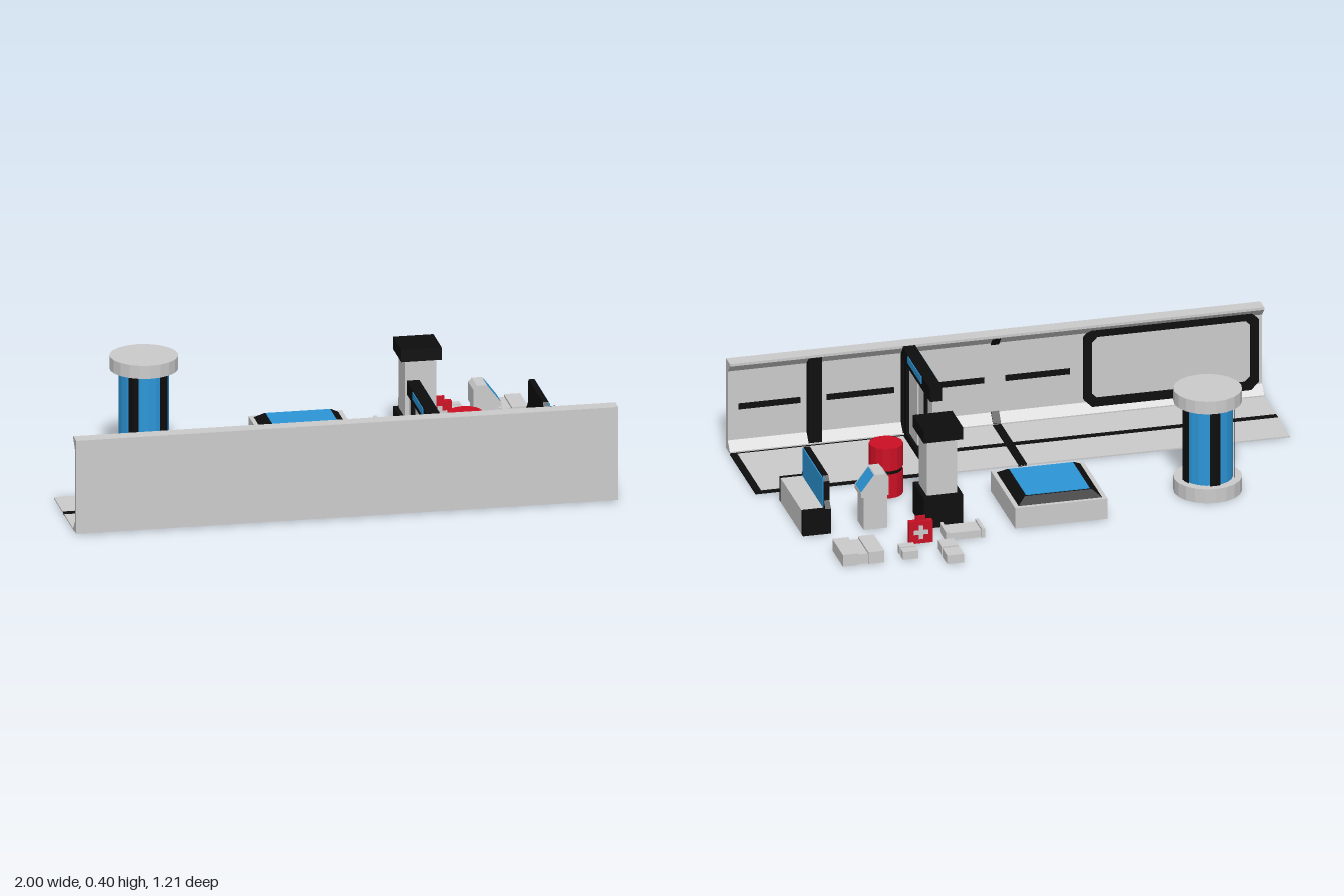
import * as THREE from 'three';

const mat = (color) => new THREE.MeshStandardMaterial({ color, flatShading: true });

export function createModel() {
  const root = new THREE.Group();
  const grey = mat(0xcccccc), black = mat(0x0d0d0d), blue = mat(0x2c96d8), red = mat(0xcc1024);

  const add = (name, geo, material, parent = root) => {
    const m = new THREE.Mesh(geo, material);
    m.name = name;
    parent.add(m);
    return m;
  };
  const group = (name) => {
    const g = new THREE.Group();
    g.name = name;
    root.add(g);
    return g;
  };
  // box from its limits on each axis
  const box = (name, material, [x0, x1], [y0, y1], [z0, z1], parent) => {
    const g = new THREE.BoxGeometry(x1 - x0, y1 - y0, z1 - z0);
    g.translate((x0 + x1) / 2, (y0 + y1) / 2, (z0 + z1) / 2);
    return add(name, g, material, parent);
  };
  // (z, y) profile extruded along x
  const extrudeX = (name, material, pts, x0, x1, parent) => {
    const s = new THREE.Shape(pts.map(([z, y]) => new THREE.Vector2(-z, y)));
    const g = new THREE.ExtrudeGeometry(s, { depth: x1 - x0, bevelEnabled: false });
    g.rotateY(Math.PI / 2).translate(x0, 0, 0);
    return add(name, g, material, parent);
  };
  // (x, y) shape extruded along z
  const extrudeZ = (name, material, shape, z0, z1, parent) => {
    const g = new THREE.ExtrudeGeometry(shape, { depth: z1 - z0, bevelEnabled: false });
    g.translate(0, 0, z0);
    return add(name, g, material, parent);
  };
  const poly = (pts) => new THREE.Shape(pts.map(([x, y]) => new THREE.Vector2(x, y)));

  // long wall with a recessed inner face and bevelled lip and foot
  const wall = group('wall');
  extrudeX('wallPanel', grey, [[0.6, 0.005], [0.6, 0.36], [0.545, 0.36], [0.545, 0.35],
    [0.576, 0.318], [0.576, 0.045], [0.545, 0.012], [0.545, 0.005]], -1, 1, wall);
  extrudeX('wallPillar', black, [[0.58, 0.32], [0.546, 0.352], [0.546, 0.012], [0.58, 0.045]], 0.655, 0.705, wall);
  for (const [a, b] of [[0.73, 0.96], [0.38, 0.63], [0.04, 0.29], [-0.28, -0.04]])
    box('wallStripe', black, [a, b], [0.165, 0.187], [0.571, 0.578], wall);
  extrudeX('upperRib', black, [[0.577, 0.32], [0.546, 0.352], [0.543, 0.348], [0.573, 0.312]], -0.015, 0.015, wall);
  extrudeX('lowerRib', black, [[0.577, 0.043], [0.546, 0.01], [0.543, 0.014], [0.573, 0.05]], -0.015, 0.015, wall);
  // chamfered window frame
  const octagon = (x0, x1, y0, y1, c) => [[x0 + c, y0], [x1 - c, y0], [x1, y0 + c], [x1, y1 - c],
    [x1 - c, y1], [x0 + c, y1], [x0, y1 - c], [x0, y0 + c]];
  const windowShape = poly(octagon(-0.985, -0.33, 0.03, 0.335, 0.03));
  windowShape.holes.push(poly(octagon(-0.955, -0.36, 0.06, 0.305, 0.02)));
  extrudeZ('windowFrame', black, windowShape, 0.562, 0.58, wall);

  // floor with dark joints, and the bordered floor of the end room
  const floor = group('floor');
  box('corridorFloor', grey, [-1, 0.33], [0.002, 0.007], [0.18, 0.56], floor);
  box('crossJoint', black, [-0.016, 0.016], [0, 0.009], [0.18, 0.545], floor);
  box('longJoint', black, [-1, 0.31], [0, 0.009], [0.352, 0.378], floor);
  box('roomBorder', black, [0.33, 1], [0.001, 0.007], [0.18, 0.545], floor);
  box('roomFloor', grey, [0.355, 0.975], [0.003, 0.009], [0.197, 0.532], floor);

  // partition with a double sliding door
  const door = group('partition');
  for (const z of [[0.152, 0.217], [0.52, 0.547]])
    box('partitionWall', grey, [0.318, 0.347], [0.005, 0.306], z, door);
  for (const z of [[0.217, 0.246], [0.492, 0.522]])
    box('doorPost', black, [0.31, 0.355], [0, 0.33], z, door);
  box('threshold', black, [0.31, 0.355], [0, 0.035], [0.217, 0.522], door);
  box('lintel', black, [0.308, 0.355], [0.306, 0.358], [0.152, 0.547], door);
  extrudeX('wallJoint', black, [[0.577, 0.32], [0.547, 0.35], [0.547, 0.012], [0.577, 0.045]], 0.312, 0.353, door);
  box('lintelDisplay', blue, [0.305, 0.358], [0.327, 0.354], [0.272, 0.463], door);
  for (const z of [[0.246, 0.361], [0.378, 0.492]])
    box('doorLeaf', grey, [0.322, 0.343], [0.035, 0.317], z, door);
  box('doorSeam', black, [0.326, 0.339], [0.035, 0.317], [0.361, 0.378], door);
  box('doorControl', blue, [0.313, 0.352], [0.157, 0.174], [0.166, 0.202], door);

  // glass tank held between two caps by five struts
  const tank = group('tank');
  tank.position.set(-0.595, 0, -0.19);
  const tube = (name, material, r, y0, y1, sides, parent, start = 0, arc = Math.PI * 2) =>
    add(name, new THREE.CylinderGeometry(r, r, y1 - y0, sides, 1, false, start, arc)
      .translate(0, (y0 + y1) / 2, 0), material, parent);
  tube('tankFoot', grey, 0.125, 0, 0.055, 20, tank);
  tube('tankCap', grey, 0.125, 0.352, 0.402, 20, tank);
  tube('tankGlass', blue, 0.092, 0.05, 0.355, 20, tank);
  for (let i = 0; i < 5; i++) {
    const a = (38 + 72 * i) * Math.PI / 180;
    tube('tankStrut', black, 0.098, 0.05, 0.355, 2, tank, a - 0.21, 0.42);
  }

  // low display table with a sloped rim
  const table = group('displayTable');
  box('tableBase', grey, [-0.175, 0.17], [0.005, 0.085], [-0.362, -0.018], table);
  const rim = new THREE.CylinderGeometry(0.125 * Math.SQRT2, 0.156 * Math.SQRT2, 0.023, 4);
  rim.rotateY(Math.PI / 4).translate(-0.003, 0.0965, -0.19);
  add('tableRim', rim, black, table);
  box('tableScreen', blue, [-0.122, 0.116], [0.1, 0.111], [-0.309, -0.071], table);

  // square column
  const column = group('column');
  box('columnBase', black, [0.34, 0.49], [0, 0.12], [-0.27, -0.115], column);
  box('columnShaft', grey, [0.357, 0.473], [0.12, 0.34], [-0.248, -0.132], column);
  box('columnCap', black, [0.34, 0.49], [0.338, 0.385], [-0.27, -0.115], column);

  // barrel
  const barrel = group('barrel');
  barrel.position.set(0.54, 0, 0.075);
  tube('barrelLower', red, 0.062, 0.005, 0.098, 14, barrel);
  tube('barrelBand', black, 0.059, 0.098, 0.112, 14, barrel);
  tube('barrelUpper', red, 0.062, 0.112, 0.2, 14, barrel);

  // counter with a tall screen
  const counter = group('counter');
  box('counterBody', grey, [0.845, 0.93], [0.002, 0.097], [-0.205, 0.09], counter);
  for (const z of [[-0.228, -0.205], [0.088, 0.107]])
    box('counterEnd', black, [0.825, 0.93], [0.002, 0.097], z, counter);
  extrudeX('screenBack', black, [[0.107, 0.002], [0.107, 0.1], [0.09, 0.125], [0.09, 0.2], [0.075, 0.217],
    [-0.19, 0.217], [-0.205, 0.2], [-0.205, 0.125], [-0.228, 0.1], [-0.228, 0.002]], 0.825, 0.846, counter);
  box('screen', blue, [0.84, 0.85], [0.099, 0.211], [-0.2, 0.084], counter);

  // terminal with a sloped screen
  const terminal = group('terminal');
  box('terminalBody', grey, [0.618, 0.705], [0.005, 0.135], [-0.235, -0.147], terminal);
  extrudeZ('terminalHead', grey, poly([[0.612, 0.135], [0.715, 0.135], [0.715, 0.15], [0.662, 0.22],
    [0.625, 0.22], [0.612, 0.205]]), -0.24, -0.144, terminal);
  extrudeZ('terminalScreen', blue, poly([[0.711, 0.15], [0.715, 0.153], [0.667, 0.217], [0.663, 0.214]]),
    -0.23, -0.154, terminal);

  // first-aid case with a cross on both faces
  const aid = group('aidCase');
  box('caseBody', red, [0.49, 0.578], [0.003, 0.09], [-0.397, -0.376], aid);
  box('caseHandle', red, [0.516, 0.552], [0.09, 0.108], [-0.391, -0.382], aid);
  box('crossBar', grey, [0.507, 0.561], [0.038, 0.055], [-0.399, -0.374], aid);
  box('crossPost', grey, [0.5255, 0.5425], [0.02, 0.073], [-0.399, -0.374], aid);

  // flat crates: two blocks joined by a slimmer waist
  const crate = (x, z, h, alongX, waist) => {
    const g = group('crate');
    const [a, b] = alongX ? x : z, mid = (a + b) / 2, d = 0.008;
    const part = (n, s, i) => alongX
      ? box(n, grey, s, [0.004, h - i], [z[0] + i, z[1] - i], g)
      : box(n, grey, [x[0] + i, x[1] - i], [0.004, h - i], s, g);
    part('crateEnd', [a, mid - waist], 0);
    part('crateEnd', [mid + waist, b], 0);
    part('crateWaist', [mid - waist, mid + waist], d * Math.min(1, waist / 0.012));
  };
  crate([0.295, 0.44], [-0.41, -0.315], 0.04, true, 0.06);
  crate([0.425, 0.487], [-0.605, -0.46], 0.038, false, 0.008);
  crate([0.577, 0.635], [-0.527, -0.45], 0.035, false, 0.006);
  crate([0.705, 0.86], [-0.53, -0.38], 0.05, true, 0.018);

  return root;
}
